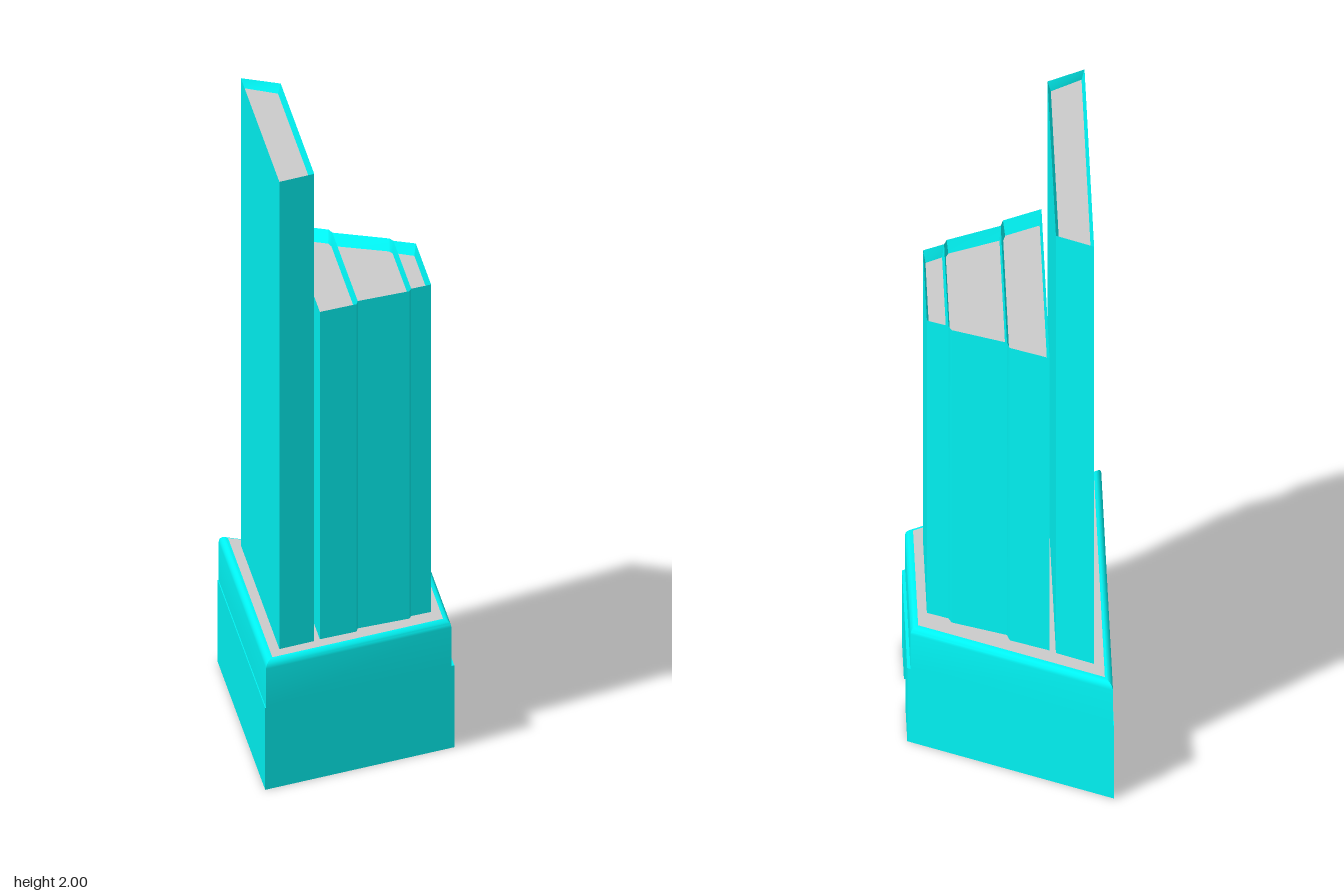
import * as THREE from 'three';
import { toCreasedNormals } from 'three/addons/utils/BufferGeometryUtils.js';

const cyan = new THREE.MeshStandardMaterial({ color: 0x00f4f4, side: THREE.DoubleSide });
const grey = new THREE.MeshStandardMaterial({ color: 0xcccccc, side: THREE.DoubleSide });

// Mirror a half outline [x, z] across z = 0 into a full ring
const ring = (half) => [...half, ...half.map(([x, z]) => [x, -z]).reverse()];

// Skin a stack of { y, pts } rings; optionally close the loop and cap either end
function loft(rings, { closed = true, bottom = false, top = false } = {}) {
  const pos = [];
  const tri = (...ps) => ps.forEach((p) => pos.push(...p));
  const at = (r, i) => {
    const [x, z] = r.pts[i % r.pts.length];
    return [x, r.y, z];
  };
  for (let k = 0; k + 1 < rings.length; k++) {
    const a = rings[k], b = rings[k + 1], n = a.pts.length;
    for (let i = 0; i < (closed ? n : n - 1); i++) {
      tri(at(a, i), at(a, i + 1), at(b, i + 1));
      tri(at(a, i), at(b, i + 1), at(b, i));
    }
  }
  const last = rings[rings.length - 1], first = rings[0];
  for (let i = 1; i + 1 < first.pts.length; i++) {
    if (top) tri(at(last, 0), at(last, i), at(last, i + 1));
    if (bottom) tri(at(first, 0), at(first, i + 1), at(first, i));
  }
  const g = new THREE.BufferGeometry();
  g.setAttribute('position', new THREE.Float32BufferAttribute(pos, 3));
  g.computeVertexNormals();
  return toCreasedNormals(g, 0.6);
}

// Trapezoid plan of the base, inset by d on every side
function basePlan(x0, x1, d = 0) {
  const z = (x) => 0.66 - 0.5615 * (x + 0.325) - 1.147 * d;
  return ring([[x0 + d, z(x0 + d)], [x1 - d, z(x1 - d)]]);
}

export function createModel() {
  const model = new THREE.Group();
  const add = (parent, name, geometry, material = cyan) => {
    const m = new THREE.Mesh(geometry, material);
    m.name = name;
    parent.add(m);
  };
  const base = new THREE.Group();
  base.name = 'base';
  model.add(base);

  const split = 0.275, deck = 0.43;

  // Hollow lower storey: three plain walls, open underneath
  const [a, b, c, d] = basePlan(-0.325, 0.325);
  const walls = [c, d, a, b];
  add(base, 'lowerWalls', loft([{ y: 0, pts: walls }, { y: split, pts: walls }], { closed: false }));

  // Entrance wall with doorway
  const w = b[1], dw = 0.08, dh = 0.25;
  const wall = new THREE.Shape([
    [-w, 0], [-dw, 0], [-dw, dh], [dw, dh], [dw, 0], [w, 0], [w, split], [-w, split],
  ].map(([x, y]) => new THREE.Vector2(x, y)));
  add(base, 'entranceWall', new THREE.ShapeGeometry(wall).rotateY(Math.PI / 2).translate(0.325, 0, 0));

  // Door recess: sides, back and ceiling
  const recess = [[0.325, dw], [0.255, dw], [0.255, -dw], [0.325, -dw]];
  add(base, 'doorRecess', loft([{ y: 0, pts: recess }, { y: dh, pts: recess }], { closed: false, top: true }));

  // Narrow ledge above the lower walls, upper block with rounded top edge
  const rings = [
    { y: split, pts: basePlan(-0.325, 0.325) },
    { y: split, pts: basePlan(-0.322, 0.315) },
  ];
  const r = 0.025;
  for (let i = 0; i <= 5; i++) {
    const t = (i / 5) * Math.PI / 2;
    rings.push({ y: deck - r + r * Math.sin(t), pts: basePlan(-0.322, 0.315, r * (1 - Math.cos(t))) });
  }
  add(base, 'upperBlock', loft(rings, { bottom: true }));
  const deckRing = { y: deck, pts: rings[rings.length - 1].pts };
  add(base, 'deck', loft([deckRing], { top: true }), grey);

  // Tower: walls, parapet sloping inward, sunken grey roof
  function tower(name, half, height, dx, zScale, depth) {
    const g = new THREE.Group();
    g.name = name;
    model.add(g);
    const x0 = half[0][0], x1 = half[half.length - 1][0];
    const k = 1 - (2 * dx) / (x1 - x0), mid = (x0 + x1) / 2;
    const pts = ring(half);
    const inner = ring(half.map(([x, z]) => [mid + (x - mid) * k, z * zScale]));
    add(g, name + 'Walls', loft([{ y: deck, pts }, { y: height, pts }]));
    add(g, name + 'Parapet', loft([{ y: height, pts }, { y: height - depth, pts: inner }]));
    add(g, name + 'Roof', loft([{ y: height - depth, pts: inner }], { top: true }), grey);
  }
  tower('tallSlab', [[-0.265, 0.535], [-0.145, 0.466]], 2, 0.01, 0.975, 0.03);
  tower('rearTower', [[-0.125, 0.45], [0, 0.385], [0.008, 0.353]], 1.53, 0.007, 0.905, 0.035);
  tower('middleTower', [[0.008, 0.353], [0.183, 0.272], [0.192, 0.247]], 1.53, 0.005, 0.905, 0.035);
  tower('frontTower', [[0.192, 0.247], [0.26, 0.212]], 1.53, 0.007, 0.905, 0.035);

  return model;
}
